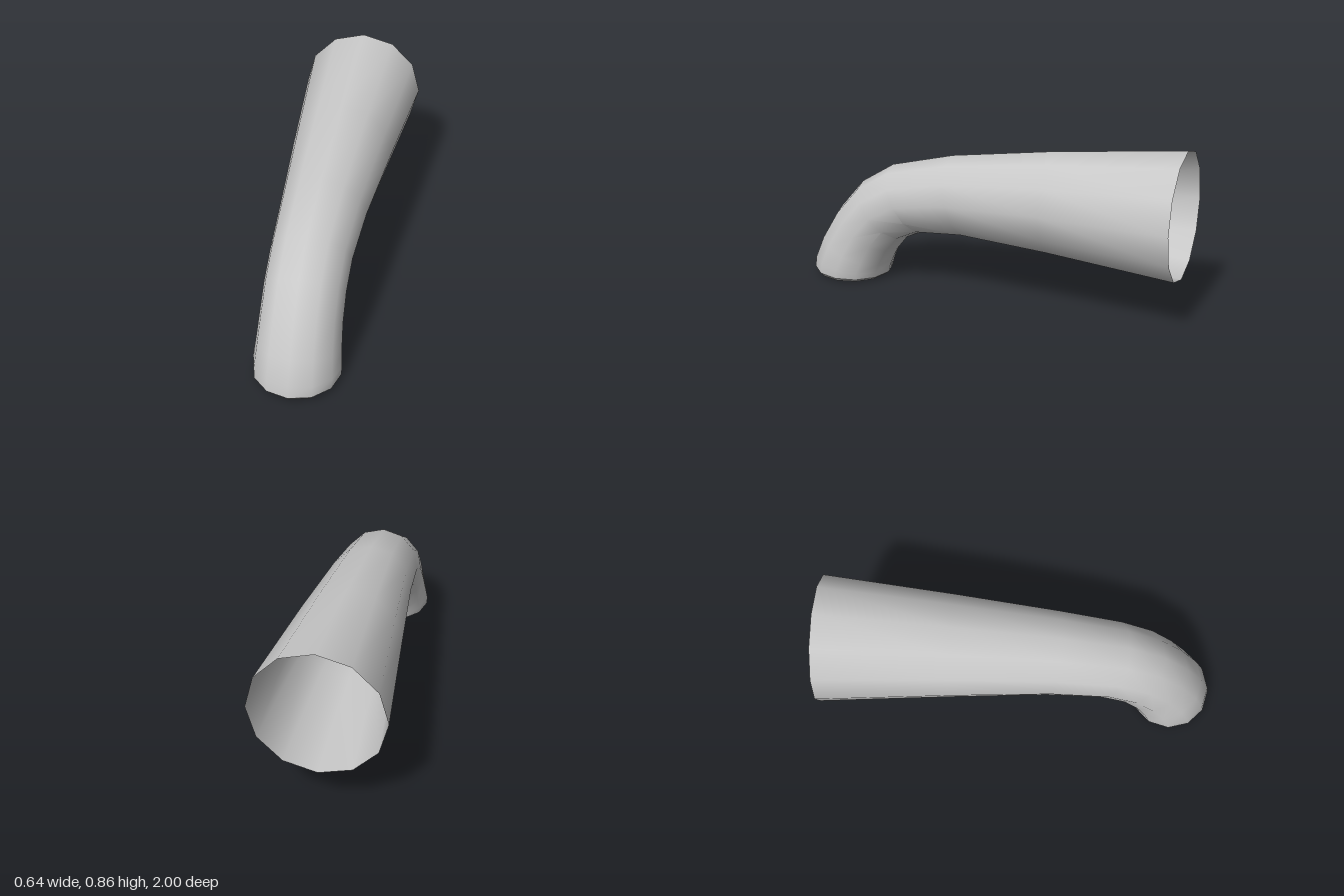
import * as THREE from 'three';
import { toCreasedNormals } from 'three/addons/utils/BufferGeometryUtils.js';

const SIDES = 12;

// Skin a tube through elliptical rings: [top z, top y, bottom z, bottom y, half width]
function loft(rings, crease) {
  const pos = [], index = [];
  for (const [tz, ty, bz, by, w] of rings) {
    for (let j = 0; j < SIDES; j++) {
      const a = (j / SIDES) * Math.PI * 2, c = Math.cos(a);
      pos.push(w * Math.sin(a), (ty + by) / 2 + c * (ty - by) / 2, (tz + bz) / 2 + c * (tz - bz) / 2);
    }
  }
  for (let i = 0; i < rings.length - 1; i++) {
    for (let j = 0; j < SIDES; j++) {
      const k = (j + 1) % SIDES;
      const a = i * SIDES + j, b = i * SIDES + k, c = a + SIDES, d = b + SIDES;
      index.push(a, c, b, b, c, d);
    }
  }
  const g = new THREE.BufferGeometry();
  g.setAttribute('position', new THREE.Float32BufferAttribute(pos, 3));
  g.setIndex(index);
  return toCreasedNormals(g, crease);
}

export function createModel() {
  const group = new THREE.Group();
  group.name = 'spout';
  const metal = new THREE.MeshStandardMaterial({ color: 0xc8c8c8, side: THREE.DoubleSide });
  metal.name = 'light grey metal';

  // Flared tube, open at the back, bending down at the front
  const lip = [1.0, 0.03, 0.585, 0.015, 0.212];
  const body = new THREE.Mesh(loft([
    [-1.0, 0.857, -1.0, 0.215, 0.32],
    [-0.35, 0.785, -0.35, 0.27, 0.262],
    [0.2, 0.705, 0.11, 0.297, 0.217],
    [0.54, 0.62, 0.36, 0.28, 0.2],
    [0.72, 0.51, 0.47, 0.23, 0.198],
    [0.85, 0.36, 0.53, 0.155, 0.2],
    [0.94, 0.21, 0.565, 0.08, 0.207],
    [0.99, 0.09, 0.58, 0.04, 0.215],
    lip,
  ], 0.6), metal);
  body.name = 'spoutBody';

  // Bevelled outlet rim turning into a short inner wall
  const outlet = new THREE.Mesh(loft([
    lip,
    [0.98, 0.005, 0.605, 0.0, 0.19],
    [0.95, 0.005, 0.635, 0.0, 0.16],
    [0.94, 0.11, 0.63, 0.09, 0.16],
  ], 0.6), metal);
  outlet.name = 'outletRim';

  group.add(body, outlet);
  return group;
}
